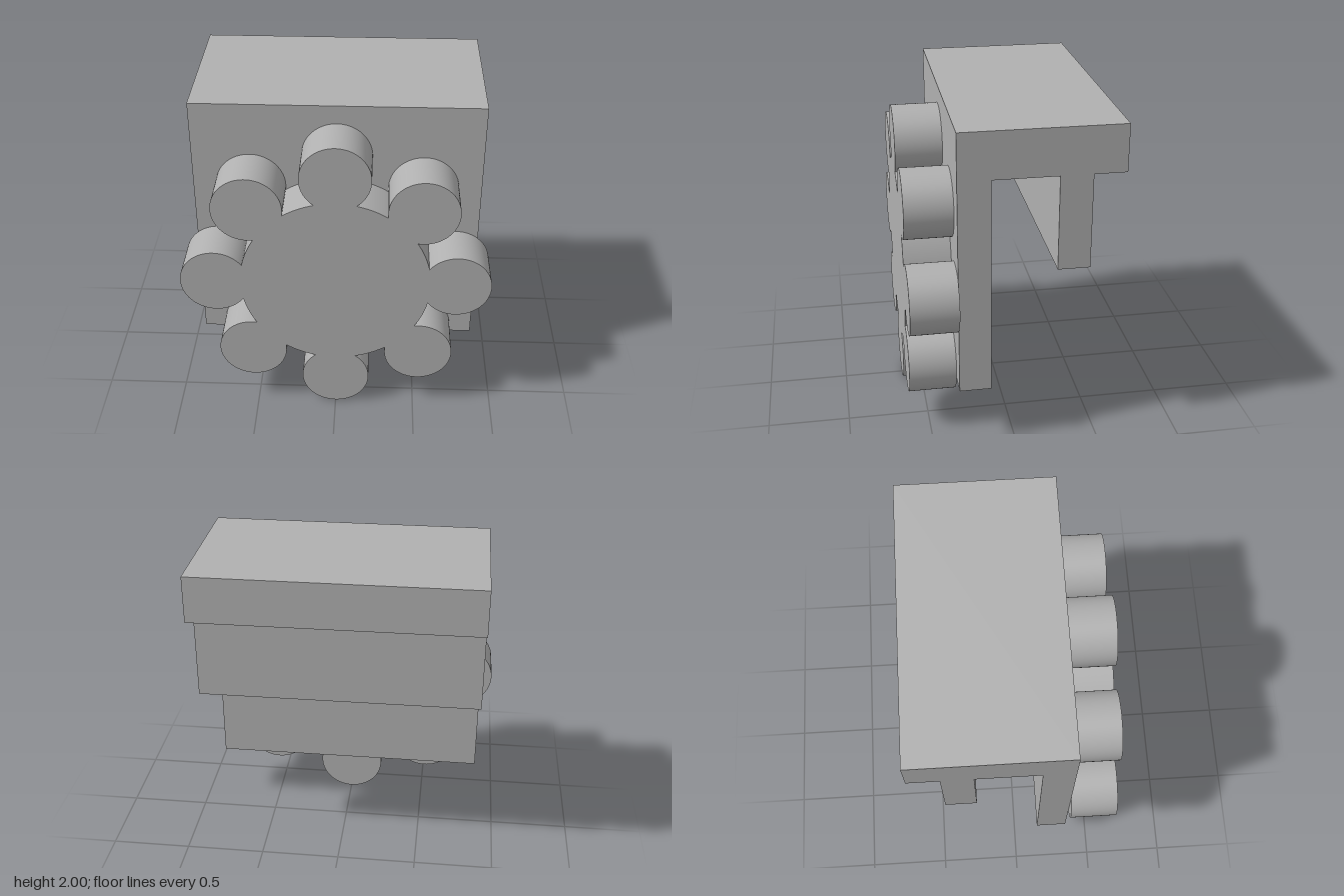
import * as THREE from 'three';
import { toCreasedNormals } from 'three/addons/utils/BufferGeometryUtils.js';

export function createModel() {
  const model = new THREE.Group();
  model.name = 'flowerHookBracket';
  const grey = new THREE.MeshStandardMaterial({ color: 0xb0b0b0 });
  grey.name = 'grey';

  // Hook bracket: side profile in (z, y), extruded across the width
  const width = 1.73;
  const profile = new THREE.Shape([
    [0.338, 0.37], [0.338, 2], [-0.625, 2], [-0.625, 1.715], [-0.432, 1.715],
    [-0.432, 1.138], [-0.24, 1.138], [-0.24, 1.715], [0.146, 1.715], [0.146, 0.37],
  ].map(([z, y]) => new THREE.Vector2(z, y)));
  const bracketGeometry = new THREE.ExtrudeGeometry(profile, { depth: width, bevelEnabled: false });
  bracketGeometry.translate(0, 0, -width / 2).rotateY(-Math.PI / 2);
  const bracket = new THREE.Mesh(bracketGeometry, grey);
  bracket.name = 'hookBracket';
  model.add(bracket);

  // Flower: disc and eight round petals merged into one outline of arcs
  const petals = 8, discR = 0.577, petalR = 0.21, reach = 0.7325;
  const step = (Math.PI * 2) / petals;
  // Half angles where the circles meet, seen from the disc and from the petal
  const a = Math.acos((discR ** 2 + reach ** 2 - petalR ** 2) / (2 * discR * reach));
  const b = Math.acos((petalR ** 2 + reach ** 2 - discR ** 2) / (2 * petalR * reach));
  const outline = new THREE.Shape();
  for (let i = 0; i < petals; i++) {
    const t = i * step;
    outline.absarc(Math.cos(t) * reach, Math.sin(t) * reach, petalR,
      t - Math.PI + b, t + Math.PI - b, false);
    outline.absarc(0, 0, discR, t + a, t + step - a, false);
  }
  const flowerGeometry = toCreasedNormals(
    new THREE.ExtrudeGeometry(outline, { depth: 0.287, bevelEnabled: false, curveSegments: 40 }), 0.5);
  const flower = new THREE.Mesh(flowerGeometry, grey);
  flower.name = 'flower';
  flower.position.set(0, 0.9425, 0.338);
  model.add(flower);

  return model;
}
